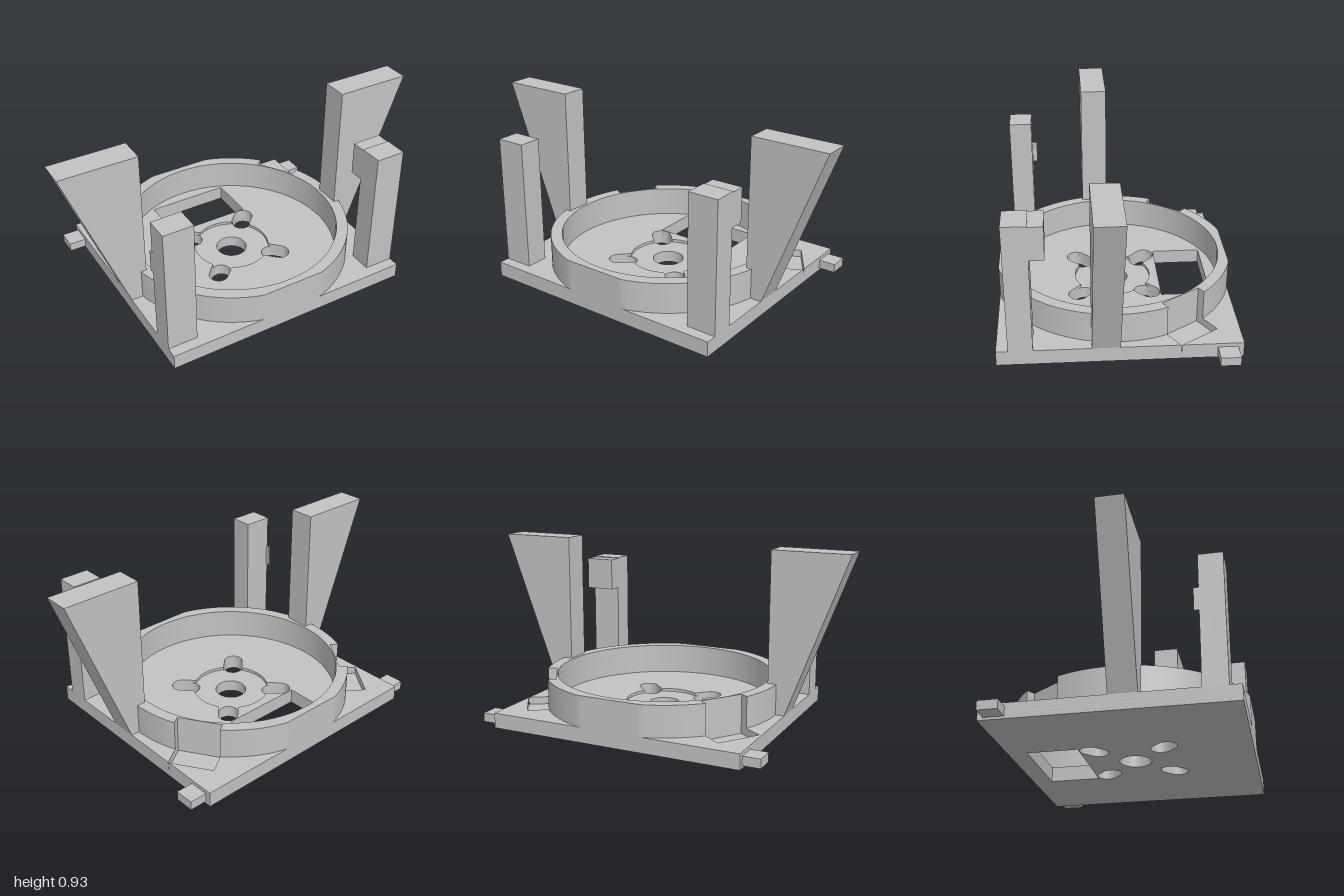
import * as THREE from 'three';
import { toCreasedNormals } from 'three/addons/utils/BufferGeometryUtils.js';

const W = 0.682, D = 0.612;           // half width and depth of the base
const R_OUT = 0.636, R_IN = 0.575;    // ring radii
const DEG = Math.PI / 180;

// Plan point (x, z) in shape space
const P = (x, z) => new THREE.Vector2(x, -z);

// Plan outline extruded from y0 to y1; a counter-clockwise outline keeps hole walls facing inwards
function slab(outline, holes, y0, y1) {
  if (THREE.ShapeUtils.isClockWise(outline)) outline.reverse();
  const shape = new THREE.Shape(outline);
  for (const h of holes) shape.holes.push(new THREE.Path(h));
  const geo = new THREE.ExtrudeGeometry(shape, { depth: y1 - y0, bevelEnabled: false });
  geo.rotateX(-Math.PI / 2);
  geo.translate(0, y0, 0);
  return toCreasedNormals(geo, 25 * DEG);
}

function circle(r, n = 96) {
  const pts = [];
  for (let i = 0; i < n; i++) {
    const a = (i / n) * Math.PI * 2;
    pts.push(P(r * Math.cos(a), r * Math.sin(a)));
  }
  return pts;
}

// Rounded slot lying on a diagonal
const SLOT_W = 0.052, SLOT_A = 0.159 * Math.SQRT2, SLOT_B = 0.194 * Math.SQRT2;
function slot(angle) {
  const pts = [];
  for (const [c, start] of [[SLOT_B, -90], [SLOT_A, 90]]) {
    for (let i = 0; i <= 16; i++) {
      const a = (start + (i * 180) / 16) * DEG;
      const u = c + SLOT_W * Math.cos(a), v = SLOT_W * Math.sin(a);
      pts.push(P(u * Math.cos(angle) - v * Math.sin(angle), u * Math.sin(angle) + v * Math.cos(angle)));
    }
  }
  return pts;
}

// Round recess joined with the four slots, as a polar outline
function recess() {
  const pts = [];
  for (let i = 0; i < 360; i++) {
    const a = i * DEG;
    const f = ((i % 90) - 45) * DEG, s = Math.abs(Math.sin(f)), c = Math.cos(f);
    let r = s > 1e-6 ? SLOT_W / s : 9;
    if (r * c > SLOT_B) r = SLOT_B * c + Math.sqrt(Math.max(0, SLOT_W ** 2 - (SLOT_B * s) ** 2));
    r = Math.max(0.205, r);
    pts.push(P(r * Math.cos(a), r * Math.sin(a)));
  }
  return pts;
}

// Tilted rectangular pockets behind the ring: inner, outer distance and half length
const POCKET = { near: 0.58, far: 0.737, half: 0.117 };
const pocketAngles = [-32.7 * DEG, -144.8 * DEG];
function pocketCorner(angle, d, t) {
  return P(d * Math.cos(angle) - t * Math.sin(angle), d * Math.sin(angle) + t * Math.cos(angle));
}
function pocket(angle) {
  const { near, far, half } = POCKET;
  return [[far, half], [near, half], [near, -half], [far, -half]].map(([d, t]) => pocketCorner(angle, d, t));
}

// Ring outline, cut flat at front and back and notched by the pockets
function ringOutline() {
  const { near, half } = POCKET, pts = [];
  const spread = Math.asin(half / R_OUT), rim = Math.sqrt(R_OUT ** 2 - half ** 2);
  const done = new Set();
  for (let i = 0; i < 240; i++) {
    const a = (i / 240) * Math.PI * 2 - Math.PI;
    const cut = pocketAngles.find((p) => Math.abs(a - p) <= spread + 0.004);
    if (cut === undefined) {
      const r = Math.min(R_OUT, D / Math.max(1e-6, Math.abs(Math.sin(a))));
      pts.push(P(r * Math.cos(a), r * Math.sin(a)));
    } else if (!done.has(cut)) {
      done.add(cut);
      for (const [d, t] of [[rim, -half], [near, -half], [near, half], [rim, half]]) pts.push(pocketCorner(cut, d, t));
    }
  }
  return pts;
}

export function createModel() {
  const model = new THREE.Group();
  const grey = new THREE.MeshStandardMaterial({ color: 0xc2c2c2 });
  grey.name = 'grey';

  const add = (name, geo) => {
    const mesh = new THREE.Mesh(geo, grey);
    mesh.name = name;
    model.add(mesh);
  };
  const box = (name, x0, x1, y0, y1, z0, z1) => {
    const geo = new THREE.BoxGeometry(x1 - x0, y1 - y0, z1 - z0);
    geo.translate((x0 + x1) / 2, (y0 + y1) / 2, (z0 + z1) / 2);
    add(name, geo);
  };

  // Base plate in three layers: floor, pockets, and shallow central recess
  const rect = [P(-W, D), P(W, D), P(W, -D), P(-W, -D)];
  const opening = [P(-0.228, -0.512), P(0.226, -0.512), P(0.226, -0.25), P(-0.228, -0.25)];
  const bores = [circle(0.083, 48), ...[45, 135, 225, 315].map((a) => slot(a * DEG))];
  add('baseFloor', slab(rect, [opening, ...bores], 0, 0.04));

  // The left pocket breaks slightly through the side of the base
  const [tip, c, d, a] = pocket(pocketAngles[0]);
  const onEdge = (p) => p.clone().lerp(tip, (W - p.x) / (tip.x - p.x));
  const notched = [P(-W, D), P(W, D), onEdge(c), c, d, a, onEdge(a), P(W, -D), P(-W, -D)];
  const rightPocket = pocket(pocketAngles[1]);
  add('basePockets', slab(notched, [opening, rightPocket, ...bores], 0.04, 0.064));
  add('baseTop', slab(notched, [opening, rightPocket, recess()], 0.064, 0.08));

  // Round holder wall
  add('ring', slab(ringOutline(), [circle(R_IN, 128)], 0.08, 0.243));

  for (const s of [1, -1]) {
    const side = s > 0 ? 'left' : 'right';
    const span = (p, q) => (s > 0 ? [p, q] : [-q, -p]);

    // Flared upright
    const profile = [[0.59, 0.08], [W, 0.08], [1, 0.932], [0.59, 0.932]];
    const shape = new THREE.Shape(profile.map(([x, y]) => new THREE.Vector2(s * x, y)));
    add(side + 'Upright', new THREE.ExtrudeGeometry(shape, { depth: 0.142, bevelEnabled: false }));

    // Corner post and side tab
    box(side + 'Post', ...span(0.522, W), 0.08, 0.77, 0.43, 0.553);
    box(side + 'Tab', ...span(W, 0.773), 0.013, 0.06, -0.583, -0.481);
  }

  // Hook on one post, small rib on the other
  box('leftPostHook', 0.522, W, 0.59, 0.766, 0.355, 0.43);
  box('rightPostRib', -W, -0.674, 0.47, 0.59, 0.405, 0.43);

  return model;
}
